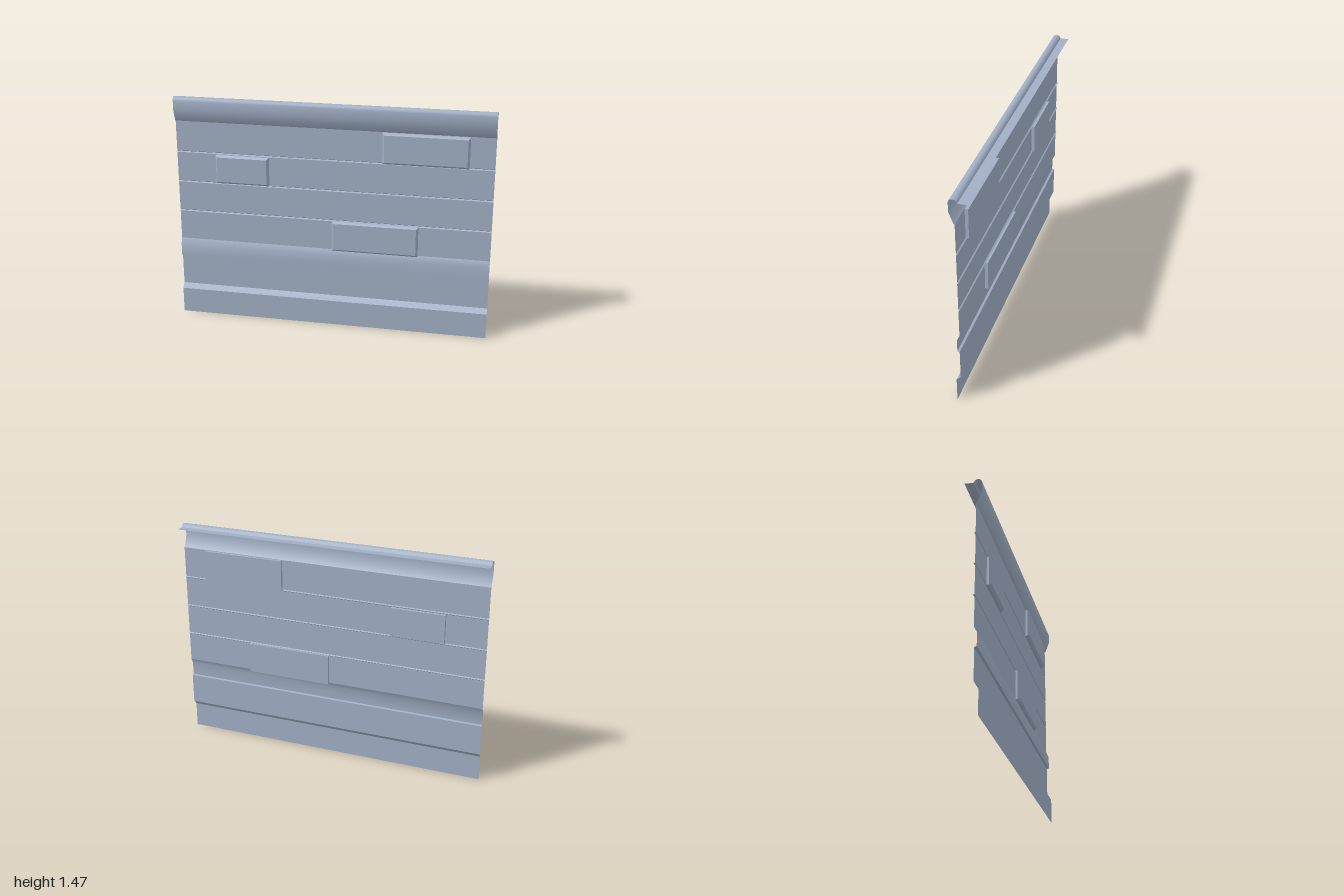
import * as THREE from 'three';
import { toCreasedNormals } from 'three/addons/utils/BufferGeometryUtils.js';

const WALL_Z = 0.017;

// Sheet swept along x from a list of [z, y] profile points
function sweepSheet(profile, halfWidth) {
  const pos = [];
  for (let i = 0; i < profile.length - 1; i++) {
    const [z0, y0] = profile[i];
    const [z1, y1] = profile[i + 1];
    const a = [-halfWidth, y0, z0], b = [halfWidth, y0, z0];
    const c = [halfWidth, y1, z1], d = [-halfWidth, y1, z1];
    pos.push(...a, ...b, ...c, ...a, ...c, ...d);
  }
  const geo = new THREE.BufferGeometry();
  geo.setAttribute('position', new THREE.Float32BufferAttribute(pos, 3));
  return toCreasedNormals(geo, 0.55);
}

// Block whose front edges are chamfered
function chamferedBlock(w, h, zBack, zFront, chamfer) {
  const geo = new THREE.BoxGeometry(w, h, 2, 1, 1, 2);
  const p = geo.attributes.position;
  for (let i = 0; i < p.count; i++) {
    const layer = Math.round(p.getZ(i));
    if (layer === 1) {
      p.setX(i, p.getX(i) - Math.sign(p.getX(i)) * chamfer);
      p.setY(i, p.getY(i) - Math.sign(p.getY(i)) * chamfer);
    }
    p.setZ(i, layer === 1 ? zFront : layer === 0 ? zFront - chamfer : zBack);
  }
  const flat = geo.toNonIndexed();
  flat.computeVertexNormals();
  return flat;
}

export function createModel() {
  const model = new THREE.Group();
  model.name = 'wallPanel';

  const steel = new THREE.MeshStandardMaterial({ color: 0xa0aec4, side: THREE.DoubleSide });
  steel.name = 'blue grey';

  const addSheet = (name, profile) => {
    const mesh = new THREE.Mesh(sweepSheet(profile, 1), steel);
    mesh.name = name;
    model.add(mesh);
  };

  // Skirt and raised lower band
  addSheet('lowerSkirt', [
    [0.047, 0], [0.047, 0.165], [0.02, 0.195], [0.02, 0.393],
    [0.034, 0.397], [0.034, 0.48], [WALL_Z, 0.515],
  ]);

  // Main wall with narrow horizontal grooves
  const wall = [[WALL_Z, 0.515]];
  for (const y of [0.71, 0.908, 1.106]) {
    wall.push([WALL_Z, y + 0.005 - 0.011], [WALL_Z - 0.008, y], [WALL_Z, y + 0.005]);
  }
  wall.push([WALL_Z, 1.305]);
  addSheet('groovedWall', wall);

  // Flared cornice, rounded top and rear flange
  addSheet('cornice', [
    [WALL_Z, 1.305], [0.025, 1.312], [0.05, 1.38], [0.05, 1.44],
    [0.046, 1.453], [0.037, 1.462], [0.026, 1.465], [0.013, 1.462],
    [0.004, 1.454], [-0.002, 1.443], [-0.055, 1.445],
  ]);

  // Blocks set through the wall: left, right, bottom, top
  const blocks = [
    [0.317, 0.847, 1.107, 1.302],
    [-0.743, -0.4, 0.913, 1.098],
    [0.003, 0.55, 0.511, 0.708],
  ];
  blocks.forEach(([x0, x1, y0, y1], i) => {
    const block = new THREE.Mesh(chamferedBlock(x1 - x0, y1 - y0, -0.003, 0.043, 0.012), steel);
    block.name = `wallBlock${i + 1}`;
    block.position.set((x0 + x1) / 2, (y0 + y1) / 2, 0);
    model.add(block);
  });

  return model;
}
